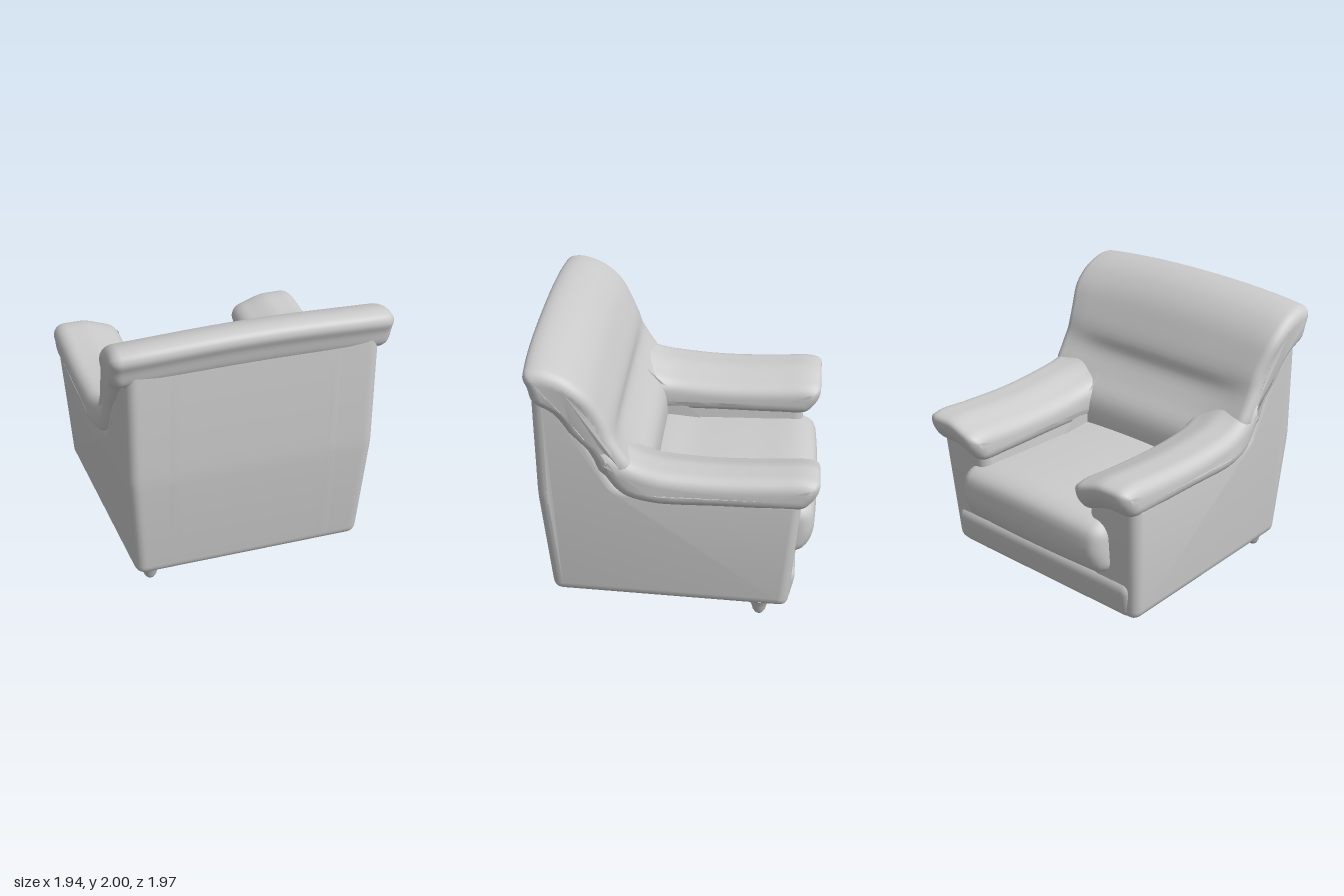
import * as THREE from 'three';
import { mergeVertices, toCreasedNormals } from 'three/addons/utils/BufferGeometryUtils.js';

const material = new THREE.MeshStandardMaterial({ color: 0xcccccc });
const { smoothstep } = THREE.MathUtils;

// Moves every vertex by a rule
function deform(geo, rule) {
  const p = geo.attributes.position, v = new THREE.Vector3();
  for (let i = 0; i < p.count; i++) {
    v.fromBufferAttribute(p, i);
    rule(v);
    p.setXYZ(i, v.x, v.y, v.z);
  }
  return geo;
}

function smooth(geo) {
  geo.deleteAttribute('normal');
  geo.deleteAttribute('uv');
  return toCreasedNormals(mergeVertices(geo, 1e-4), 1);
}

// Closed soft outline through [z, y] points
function softOutline(points) {
  const curve = new THREE.CatmullRomCurve3(points.map(([z, y]) => new THREE.Vector3(z, y, 0)), true);
  return new THREE.Shape(curve.getPoints(72).slice(0, -1).map(p => new THREE.Vector2(p.x, p.y)));
}

// Straight-sided outline with rounded corners of size r
function panelOutline(points, r) {
  const pts = points.map(([z, y]) => new THREE.Vector2(z, y));
  const shape = new THREE.Shape();
  pts.forEach((p, i) => {
    const toward = q => q.clone().sub(p).setLength(r).add(p);
    const a = toward(pts[(i + pts.length - 1) % pts.length]);
    const b = toward(pts[(i + 1) % pts.length]);
    if (i === 0) shape.moveTo(a.x, a.y);
    else shape.lineTo(a.x, a.y);
    shape.quadraticCurveTo(p.x, p.y, b.x, b.y);
  });
  shape.closePath();
  return shape;
}

// Sweeps a side outline across x from x0 to x1 with soft edges
function sweep(shape, x0, x1, bevel) {
  const geo = new THREE.ExtrudeGeometry(shape, {
    depth: x1 - x0 - 2 * bevel, steps: 14, bevelEnabled: true, curveSegments: 6,
    bevelThickness: bevel, bevelSize: bevel, bevelOffset: -bevel, bevelSegments: 6
  });
  geo.rotateY(-Math.PI / 2);
  return geo.translate(x1 - bevel, 0, 0);
}

// The body narrows towards the floor and the back
function taper(v) {
  v.x *= 1 - 0.055 * Math.max(0, 0.95 - v.y) / 0.8 - 0.08 * (v.z + 0.85) / 1.8;
}

export function createModel() {
  const chair = new THREE.Group();
  chair.name = 'armchair';
  const add = (name, geo, parent = chair) => {
    const mesh = new THREE.Mesh(geo, material);
    mesh.name = name;
    parent.add(mesh);
    return mesh;
  };

  // Low base with a front lip below the seat
  add('base', smooth(deform(sweep(panelOutline(
    [[0.8, 0.13], [-0.8, 0.13], [-0.85, 0.38], [-0.74, 0.47], [0.8, 0.5]], 0.06), -0.88, 0.88, 0.06), taper)));

  // Upright rear panel, flush with the backs of the side walls
  add('rearPanel', smooth(sweep(panelOutline(
    [[0.86, 0.13], [0.35, 0.13], [0.35, 1.08], [0.76, 1.84], [0.94, 1.86], [0.93, 0.95]], 0.07),
  -0.66, 0.66, 0.07)));

  // Padded backrest: rolled top, hollow in the middle, lumbar bulge below
  const backrest = sweep(softOutline([
    [0.93, 1.74], [0.965, 1.86], [0.99, 1.93], [0.97, 1.98], [0.88, 2.0], [0.72, 1.95], [0.58, 1.83],
    [0.48, 1.66], [0.41, 1.5], [0.4, 1.38], [0.31, 1.24], [0.2, 1.1], [0.17, 0.98], [0.19, 0.8],
    [0.36, 0.82], [0.5, 1.12], [0.66, 1.42], [0.8, 1.64]
  ]), -0.97, 0.97, 0.075);
  add('backrest', smooth(deform(backrest, v => {
    const upper = smoothstep(v.y, 1.5, 1.9);
    const lower = 1 - smoothstep(v.y, 0.95, 1.25);
    v.y -= 0.045 * upper * (v.x / 0.97) ** 2;
    v.z -= 0.03 * upper * (v.x / 0.97) ** 4;
    // The sides stay forward as wings beside the hollow
    v.z -= 0.06 * (v.x / 0.97) ** 4 * smoothstep(v.y, 1.1, 1.3) * (1 - smoothstep(v.y, 1.35, 1.5));
    v.x *= 0.95 + 0.05 * upper - 0.16 * lower;
  })));

  // Thick seat cushion, crowned on top and bulging at the front
  const cushion = sweep(softOutline([
    [0.3, 0.83], [-0.1, 0.84], [-0.5, 0.845], [-0.83, 0.84], [-0.93, 0.78], [-0.955, 0.67],
    [-0.94, 0.56], [-0.89, 0.47], [-0.8, 0.43], [-0.3, 0.43], [0.3, 0.45]
  ]), -0.68, 0.68, 0.1);
  add('seatCushion', smooth(deform(cushion, v => {
    const k = 1 - (v.x / 0.68) ** 2;
    if (v.y > 0.7) v.y += 0.03 * k;
    if (v.z < -0.5) v.z -= 0.02 * k;
  })));

  // Arms: a side wall rising into the wing, under a broad soft roll
  const wallOutline = panelOutline([
    [0.86, 0.13], [-0.8, 0.13], [-0.87, 1.07], [0.37, 1.07], [0.76, 1.84], [0.94, 1.86], [0.93, 0.95]
  ], 0.07);
  const rollOutline = softOutline([
    [-0.87, 0.98], [-0.93, 1.03], [-0.975, 1.11], [-0.975, 1.18], [-0.9, 1.21], [-0.65, 1.2],
    [-0.3, 1.19], [0, 1.205], [0.18, 1.23], [0.3, 1.27], [0.42, 1.34], [0.52, 1.3],
    [0.45, 1.13], [0.34, 1.01], [0.15, 0.97], [-0.3, 0.97], [-0.65, 0.97]
  ]);
  for (const [side, s] of [['left', 1], ['right', -1]]) {
    const arm = new THREE.Group();
    arm.name = side + 'Arm';
    chair.add(arm);
    const span = (inner, outer) => s > 0 ? [inner, outer] : [-outer, -inner];
    add(side + 'ArmWall', smooth(deform(sweep(wallOutline, ...span(0.5, 0.945), 0.075), taper)), arm);
    add(side + 'ArmRoll', smooth(deform(sweep(rollOutline, ...span(0.46, 0.96), 0.09), v => {
      // Narrows where it meets the backrest, sags on the inner side
      const inner = smoothstep(0.75 - Math.abs(v.x), 0, 0.28);
      v.x -= s * 0.04 * smoothstep(v.z, 0.05, 0.45);
      v.y -= 0.07 * inner;
    })), arm);
  }

  // Two short tapered feet on opposite corners
  const foot = [[0, 0], [0.03, 0.005], [0.045, 0.03], [0.055, 0.07], [0.075, 0.11], [0.09, 0.14]]
    .map(([r, y]) => new THREE.Vector2(r, y));
  for (const [name, x, y, z] of [['leftFoot', 0.76, 0, -0.6], ['rightFoot', -0.7, 0.03, 0.75]])
    add(name, new THREE.LatheGeometry(foot, 20)).position.set(x, y, z);

  return chair;
}
